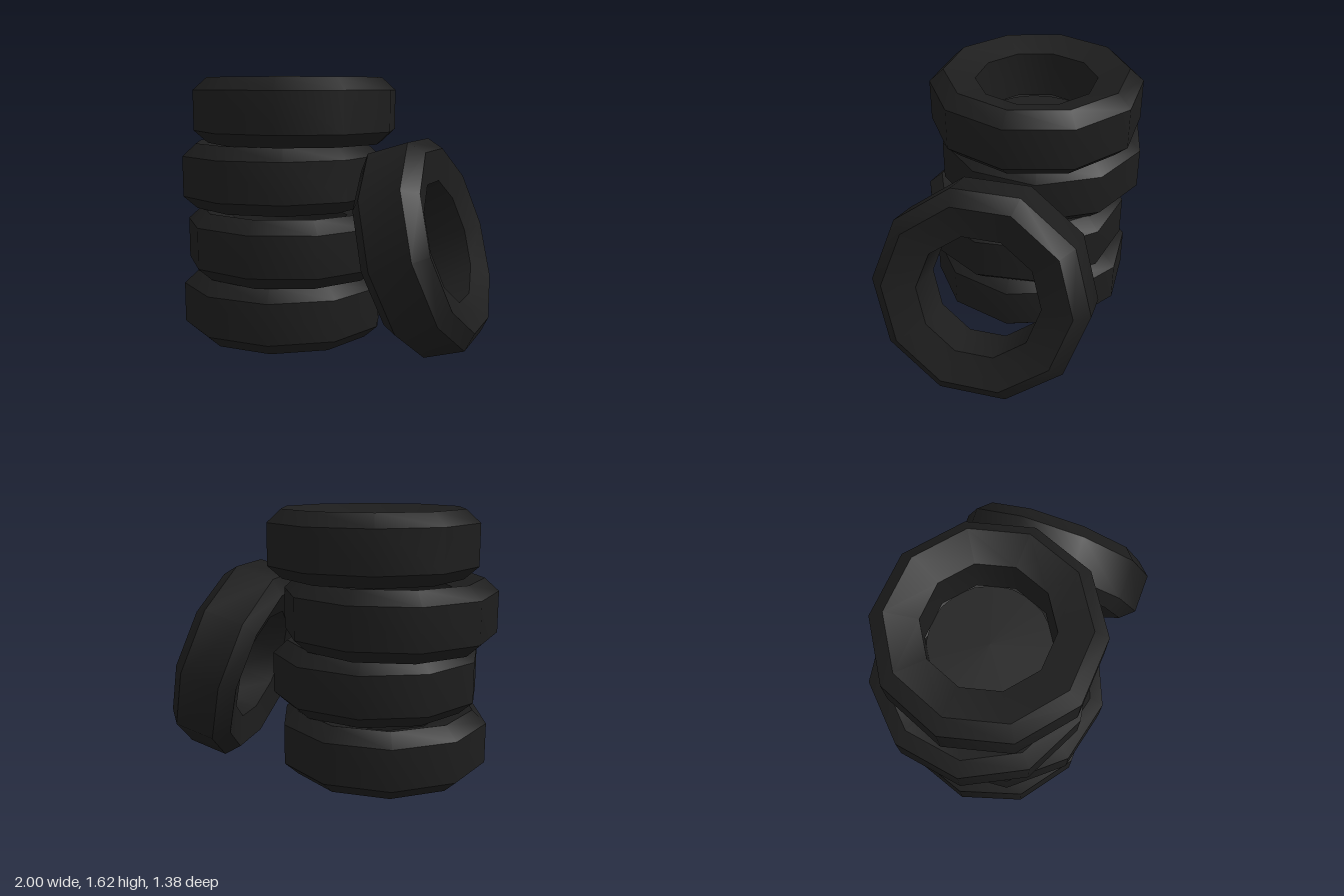
import * as THREE from 'three';
import { toCreasedNormals } from 'three/addons/utils/BufferGeometryUtils.js';

const SIDES = 10;
const HALF_WIDTH = 0.203;
const RECESSED = 0.145;

// Ten-sided tyre around the y axis: chamfered shoulders, dished sidewalls, straight bore
function tyreGeometry() {
  const profile = [
    [0.37, -RECESSED], [0.56, -HALF_WIDTH], [0.647, -0.125], [0.647, 0.125],
    [0.56, HALF_WIDTH], [0.37, RECESSED], [0.37, -RECESSED],
  ].map(([r, y]) => new THREE.Vector2(r, y));
  // Smooth around the tread, sharp at the shoulders
  return toCreasedNormals(new THREE.LatheGeometry(profile, SIDES), THREE.MathUtils.degToRad(40));
}

export function createModel() {
  const group = new THREE.Group();
  group.name = 'tyreStack';
  const rubber = new THREE.MeshStandardMaterial({ color: 0x1d1d1d, side: THREE.DoubleSide });
  rubber.name = 'black rubber';
  const geometry = tyreGeometry();

  const addTyre = (name, x, y, z) => {
    const tyre = new THREE.Mesh(geometry, rubber);
    tyre.name = name;
    tyre.position.set(x, y, z);
    group.add(tyre);
    return tyre;
  };

  // Uneven stack of four, bottom to top: x, z, turn in degrees
  const stack = [
    [-0.315, 0.01, 18],
    [-0.26, 0.045, 5],
    [-0.362, -0.047, -8],
    [-0.247, -0.032, 15],
  ];
  stack.forEach(([x, z, turn], i) => {
    const tyre = addTyre(`stackedTyre${i + 1}`, x, HALF_WIDTH * (2 * i + 1), z);
    tyre.rotation.y = THREE.MathUtils.degToRad(turn);
  });

  // Thin floor closing the bottom of the top tyre's bore
  const floor = new THREE.Mesh(new THREE.CircleGeometry(0.361, 20), rubber);
  floor.name = 'boreFloor';
  floor.position.set(-0.247, 1.27, -0.032);
  floor.rotation.x = -Math.PI / 2;
  group.add(floor);

  // Tyre leaning against the stack
  const leaning = addTyre('leaningTyre', 0.65, 0.63, 0.045);
  leaning.rotation.z = THREE.MathUtils.degToRad(-73.1);

  return group;
}
